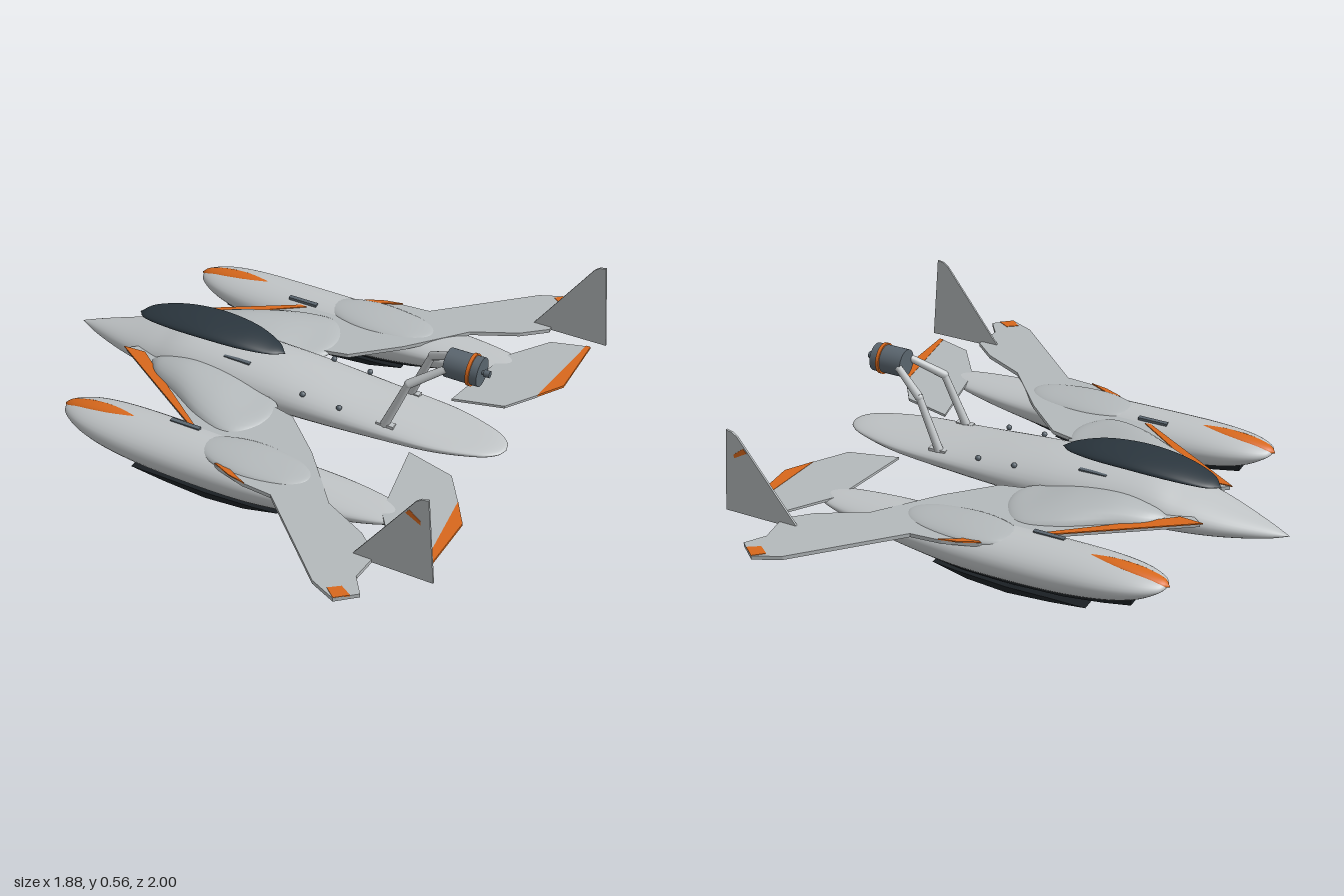
import * as THREE from 'three';

const mat = (name, color, side = THREE.FrontSide) => {
  const m = new THREE.MeshStandardMaterial({ color, side });
  m.name = name;
  return m;
};

export function createModel() {
  const root = new THREE.Group();
  root.name = 'floatJet';
  const hull = mat('hullGrey', 0xc0c4c6);
  const wingGrey = mat('wingGrey', 0xb4b9bb);
  const orange = mat('orange', 0xd8681c);
  const glass = mat('darkCanopy', 0x2b363e);
  const black = mat('blackKeel', 0x1a1f23);
  const steel = mat('engineGrey', 0x5a656e);

  const add = (name, geo, material, x = 0, y = 0, z = 0) => {
    const m = new THREE.Mesh(geo, material);
    m.name = name;
    m.position.set(x, y, z);
    root.add(m);
    return m;
  };

  // Smooth body lofted along x; station = [x, centre z, half width, waist y, top y, bottom y]
  function loft(stations, steps = 48, n = 32) {
    const curve = (i) => new THREE.CatmullRomCurve3(
      stations.map((s) => new THREE.Vector3(s[i], s[i + 1], s[i + 2])), false, 'catmullrom', 0.5);
    const plan = curve(0), side = curve(3), pos = [], idx = [];
    for (let i = 0; i <= steps; i++) {
      const a = plan.getPoint(i / steps), b = side.getPoint(i / steps);
      for (let j = 0; j < n; j++) {
        const t = (j / n) * Math.PI * 2, s = Math.sin(t);
        pos.push(a.x, b.x + (s > 0 ? b.y - b.x : b.x - b.z) * s, a.y + Math.max(a.z, 0) * Math.cos(t));
      }
    }
    for (let i = 0; i < steps; i++) {
      for (let j = 0; j < n; j++) {
        const k = (j + 1) % n, a = i * n + j, b = i * n + k, c = a + n, d = b + n;
        idx.push(a, c, b, b, c, d);
      }
    }
    const g = new THREE.BufferGeometry();
    g.setAttribute('position', new THREE.Float32BufferAttribute(pos, 3));
    g.setIndex(idx);
    g.computeVertexNormals();
    return g;
  }

  const shape = (pts, s = 1) => new THREE.Shape(pts.map(([x, y]) => new THREE.Vector2(x, y * s)));

  // Horizontal plate from [x, z] points; slope lowers it towards the tip
  function plate(pts, s, top, thick, slope = 0) {
    const g = new THREE.ExtrudeGeometry(shape(pts, s), { depth: thick, bevelEnabled: false });
    g.rotateX(Math.PI / 2);
    const p = g.attributes.position;
    for (let i = 0; i < p.count; i++) p.setY(i, p.getY(i) + top - slope * Math.abs(p.getZ(i)));
    return g;
  }

  // Upright plate from [x, y] points, centred on its own z
  function slab(pts, width) {
    const g = new THREE.ExtrudeGeometry(shape(pts), { depth: width, bevelEnabled: false });
    return g.translate(0, 0, -width / 2);
  }

  add('fuselage', loft([
    [-0.94, 0, 0, 0.17, 0.17, 0.17], [-0.85, 0, 0.045, 0.172, 0.197, 0.146],
    [-0.7, 0, 0.105, 0.185, 0.234, 0.125], [-0.55, 0, 0.145, 0.195, 0.27, 0.115],
    [-0.4, 0, 0.162, 0.2, 0.298, 0.112], [-0.1, 0, 0.166, 0.2, 0.292, 0.112],
    [0.1, 0, 0.163, 0.2, 0.277, 0.115], [0.35, 0, 0.152, 0.2, 0.25, 0.128],
    [0.6, 0, 0.135, 0.2, 0.228, 0.15], [0.77, 0, 0.09, 0.198, 0.215, 0.172],
    [0.84, 0, 0.047, 0.196, 0.205, 0.186], [0.86, 0, 0, 0.195, 0.195, 0.195],
  ], 66), hull);

  // Raised canopy: a lens arched over the cockpit
  add('canopy', loft([
    [-0.67, 0, 0, 0.3, 0.3, 0.298], [-0.62, 0, 0.05, 0.315, 0.328, 0.305],
    [-0.5, 0, 0.084, 0.333, 0.358, 0.315], [-0.35, 0, 0.095, 0.342, 0.371, 0.322],
    [-0.2, 0, 0.082, 0.336, 0.362, 0.323], [-0.09, 0, 0.045, 0.323, 0.335, 0.317],
    [-0.04, 0, 0, 0.313, 0.314, 0.312],
  ]), glass);

  for (const s of [1, -1]) {
    const side = s > 0 ? 'left' : 'right';
    const named = (n) => side + n;

    // Float with orange nose flash and black keel
    const fz = 0.5 * s;
    add(named('Float'), loft([
      [-0.685, fz, 0, 0.185, 0.186, 0.184], [-0.66, fz, 0.047, 0.18, 0.203, 0.162],
      [-0.58, fz, 0.088, 0.175, 0.22, 0.118], [-0.45, fz, 0.112, 0.165, 0.23, 0.086],
      [-0.25, fz, 0.121, 0.155, 0.232, 0.064], [0.05, fz, 0.121, 0.155, 0.228, 0.058],
      [0.25, fz, 0.114, 0.165, 0.22, 0.077], [0.45, fz, 0.1, 0.175, 0.212, 0.115],
      [0.62, fz, 0.068, 0.183, 0.203, 0.153], [0.7, fz, 0.03, 0.188, 0.196, 0.174],
      [0.73, fz, 0, 0.19, 0.19, 0.19],
    ], 60), hull);
    add(named('FloatFlash'), loft([
      [-0.69, fz, 0, 0.186, 0.187, 0.182], [-0.66, fz, 0.026, 0.193, 0.208, 0.185],
      [-0.58, fz, 0.031, 0.213, 0.2245, 0.205], [-0.48, fz, 0.024, 0.224, 0.2325, 0.215],
      [-0.37, fz, 0, 0.23, 0.231, 0.229],
    ], 24, 16), orange);
    add(named('Keel'), slab([
      [-0.56, 0.086], [-0.45, 0.065], [-0.3, 0.045], [-0.1, 0.036], [0.1, 0.04], [0.25, 0.06],
      [0.42, 0.1], [0.575, 0.14], [0.575, 0.152], [0.3, 0.12], [0, 0.09], [-0.35, 0.1], [-0.56, 0.125],
    ], 0.062), black, 0, 0, fz);
    add(named('KeelRunner'), slab([
      [-0.39, 0.028], [-0.25, 0.012], [-0.08, 0], [0.08, 0.012], [0.22, 0.044],
      [0.12, 0.034], [-0.08, 0.024], [-0.25, 0.028],
    ], 0.08), black, 0, 0, fz);

    // Swept wing with leading-edge, shoulder and tip markings
    add(named('Wing'), plate([
      [-0.65, 0.14], [-0.2, 0.43], [0, 0.59], [0.13, 0.63], [0.25, 0.64], [0.58, 0.955], [0.68, 1],
      [0.75, 0.94], [0.7, 0.87], [0.71, 0.75], [0.62, 0.67], [0.45, 0.585], [0.27, 0.37],
      [0.11, 0.22], [-0.02, 0.19], [-0.02, 0.1], [-0.6, 0.1],
    ], s, 0.227, 0.015, 0.02), wingGrey);
    const marking = (name, pts, top = 0.229) => add(named(name), plate(pts, s, top, 0.005, 0.02), orange);
    marking('WingEdgeStripe', [[-0.66, 0.14], [-0.57, 0.135], [-0.5, 0.19], [-0.18, 0.43], [-0.205, 0.432]], 0.2305);
    marking('WingShoulderMark', [[-0.005, 0.585], [0.03, 0.575], [0.14, 0.632], [0.07, 0.618]], 0.232);
    marking('WingTipMark', [[0.64, 0.965], [0.68, 0.935], [0.725, 0.962], [0.68, 0.999]]);

    // Fairings blending the wing into the fuselage and the float
    add(named('RootFairing'), loft([
      [-0.53, 0.15 * s, 0.01, 0.215, 0.22, 0.205], [-0.47, 0.17 * s, 0.06, 0.212, 0.25, 0.2],
      [-0.35, 0.19 * s, 0.105, 0.21, 0.272, 0.2], [-0.2, 0.23 * s, 0.15, 0.208, 0.265, 0.2],
      [-0.06, 0.27 * s, 0.145, 0.208, 0.242, 0.2], [0.02, 0.26 * s, 0.09, 0.208, 0.228, 0.2],
      [0.05, 0.25 * s, 0, 0.21, 0.213, 0.205],
    ], 36, 24), wingGrey);
    add(named('FloatFairing'), loft([
      [-0.14, fz, 0, 0.215, 0.22, 0.205], [-0.05, fz, 0.07, 0.212, 0.234, 0.2],
      [0.08, fz, 0.1, 0.21, 0.238, 0.195], [0.23, fz, 0.085, 0.208, 0.231, 0.195],
      [0.31, fz, 0.05, 0.208, 0.222, 0.197], [0.34, fz, 0, 0.208, 0.212, 0.204],
    ], 30, 24), wingGrey);
    add(named('WingVent'), new THREE.BoxGeometry(0.12, 0.012, 0.018), steel, -0.205, 0.226, 0.45 * s);
    add(named('CanopyRail'), new THREE.BoxGeometry(0.11, 0.02, 0.016), steel, -0.2, 0.276, 0.08 * s);

    // Tailplane with orange trailing edge
    add(named('Tailplane'), plate([
      [0.56, 0.18], [0.75, 0.23], [0.83, 0.35], [0.875, 0.73], [0.74, 0.69], [0.62, 0.52],
    ], s, 0.2, 0.01), wingGrey);
    add(named('TailplaneEdge'), plate([
      [0.83, 0.35], [0.893, 0.45], [0.887, 0.73], [0.87, 0.73],
    ], s, 0.2015, 0.0095), orange);

    // Upright fin with a small outer stripe
    add(named('Fin'), slab([
      [0.63, 0.2], [0.86, 0.52], [0.88, 0.535], [0.905, 0.54], [0.935, 0.2],
    ], 0.008), wingGrey, 0, 0, 0.77 * s);
    add(named('FinStripe'), slab([
      [0.825, 0.462], [0.838, 0.479], [0.88, 0.445], [0.88, 0.43],
    ], 0.002), orange, 0, 0, 0.7745 * s);

    // Bent engine strut
    const joints = [[0.425, 0.225, 0.108], [0.51, 0.43, 0.098], [0.625, 0.5, 0.045]]
      .map(([x, y, z]) => new THREE.Vector3(x, y, z * s));
    for (let i = 0; i < 2; i++) {
      const d = joints[i + 1].clone().sub(joints[i]);
      const rod = add(named('EngineStrut'), new THREE.CylinderGeometry(0.014, 0.017, d.length(), 16), hull);
      rod.position.copy(joints[i]).addScaledVector(d, 0.5);
      rod.quaternion.setFromUnitVectors(new THREE.Vector3(0, 1, 0), d.normalize());
    }
    add(named('StrutElbow'), new THREE.SphereGeometry(0.016, 16, 12), hull, ...joints[1].toArray());
    add(named('StrutFoot'), new THREE.BoxGeometry(0.07, 0.02, 0.025), hull, 0.43, 0.225, 0.108 * s);

    // Deck studs
    for (const x of [0.1, 0.25]) {
      add(named('DeckStud'), new THREE.SphereGeometry(0.011, 12, 8), steel, x, x < 0.2 ? 0.258 : 0.25, 0.126 * s);
    }
  }

  // Engine above the tail
  const disc = (name, r, len, x, m) =>
    add(name, new THREE.CylinderGeometry(r, r, len, 32).rotateZ(Math.PI / 2), m, x, 0.5, 0);
  disc('engine', 0.054, 0.13, 0.682, steel);
  disc('engineBand', 0.06, 0.013, 0.712, orange);
  disc('engineShaft', 0.007, 0.03, 0.755, steel);
  disc('engineHub', 0.013, 0.022, 0.766, steel);

  return root;
}
